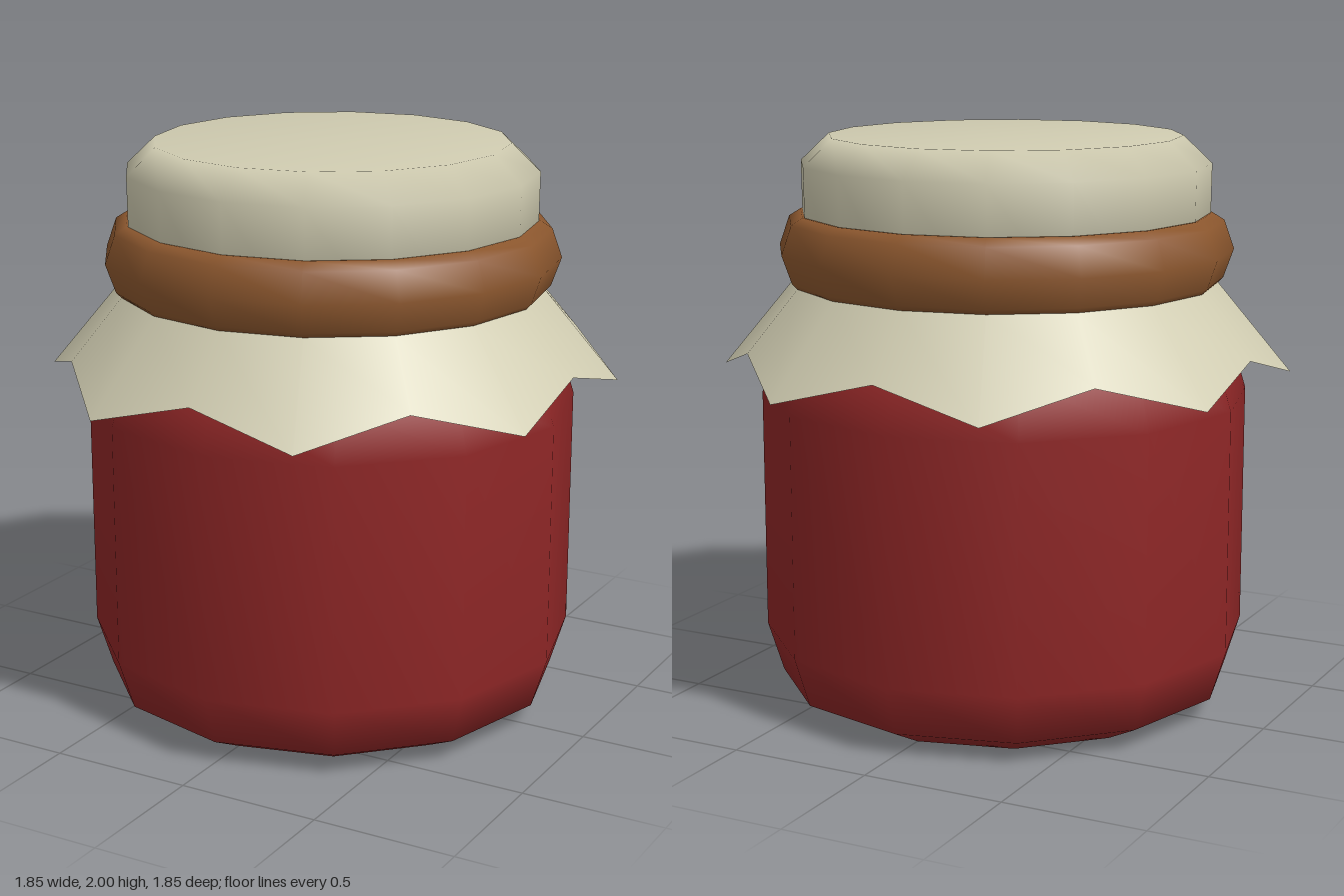
import * as THREE from 'three';

export function createModel() {
  const jam = new THREE.MeshStandardMaterial({ color: 0x8e2626 });
  jam.name = 'jam red';
  const cloth = new THREE.MeshStandardMaterial({ color: 0xcfcbb0, side: THREE.DoubleSide });
  cloth.name = 'cream cloth';
  const band = new THREE.MeshStandardMaterial({ color: 0x8c572e });
  band.name = 'brown band';

  const group = new THREE.Group();
  group.name = 'jamJar';

  // Turned part from [radius, height] points, listed from the bottom up
  const turn = (name, points, sides, material) => {
    const profile = points.map(([r, y]) => new THREE.Vector2(r, y));
    const mesh = new THREE.Mesh(new THREE.LatheGeometry(profile, sides), material);
    mesh.name = name;
    group.add(mesh);
    return mesh;
  };

  // Jar body, twelve sided with rounded base and shoulder
  turn('jarBody', [
    [0, 0], [0.65, 0], [0.8, 0.075], [0.855, 0.25],
    [0.855, 1.1], [0.8, 1.28], [0.65, 1.36], [0, 1.36],
  ], 12, jam);

  // Cloth over the lid
  turn('clothTop', [[0, 1.5], [0.71, 1.5], [0.715, 1.905], [0.615, 2], [0, 2]], 16, cloth);

  // Band tied around the cloth
  turn('band', [
    [0.66, 1.49], [0.74, 1.49], [0.76, 1.51], [0.795, 1.61],
    [0.76, 1.71], [0.72, 1.735], [0.66, 1.735],
  ], 16, band);

  // Cloth skirt: every second hem point is pulled out and down
  const skirt = turn('clothSkirt', [[0.92, 1.28], [0.74, 1.495]], 16, cloth);
  const pos = skirt.geometry.attributes.position;
  for (let i = 0; i <= 16; i++) {
    if (i % 2 === 0) continue;
    const a = (i / 16) * Math.PI * 2;
    pos.setXYZ(i * 2, Math.sin(a), 1.18, Math.cos(a));
  }

  return group;
}
